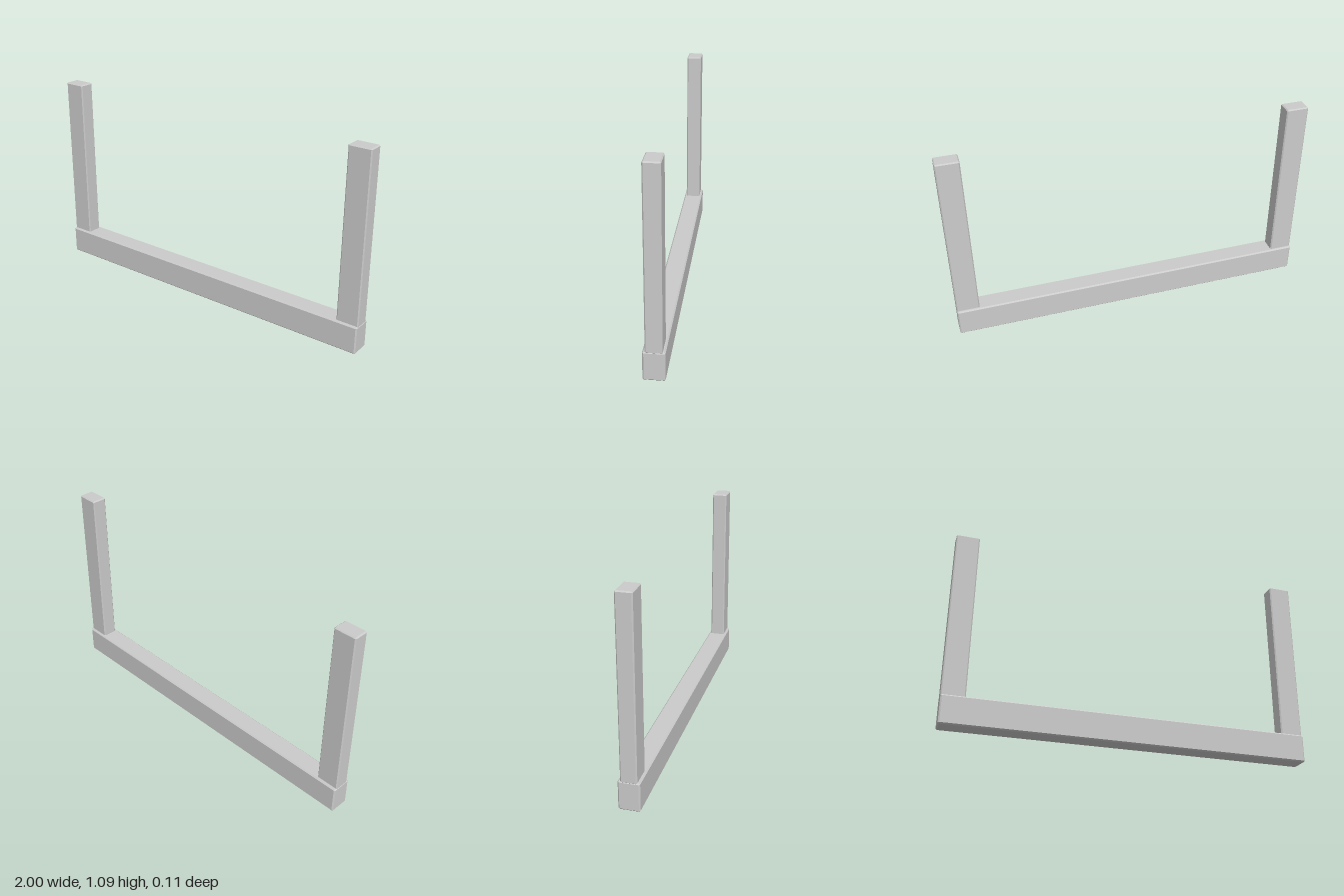
import * as THREE from 'three';
import { ConvexGeometry } from 'three/addons/geometries/ConvexGeometry.js';

const material = new THREE.MeshStandardMaterial({ color: 0xcccccc, flatShading: true });

// Box with all edges chamfered: three points around each corner
function chamferedBox(name, w, h, d, c) {
  const points = [];
  for (const sx of [-1, 1]) for (const sy of [-1, 1]) for (const sz of [-1, 1]) {
    for (let axis = 0; axis < 3; axis++) {
      const inset = [c, c, c];
      inset[axis] = 0;
      points.push(new THREE.Vector3(
        sx * (w / 2 - inset[0]), sy * (h / 2 - inset[1]), sz * (d / 2 - inset[2])));
    }
  }
  const mesh = new THREE.Mesh(new ConvexGeometry(points), material);
  mesh.name = name;
  return mesh;
}

export function createModel() {
  const group = new THREE.Group();
  group.name = 'postFrame';

  // Long bottom rail
  const railHeight = 0.155;
  const rail = chamferedBox('bottomRail', 2, railHeight, 0.11, 0.007);
  rail.position.y = railHeight / 2;
  group.add(rail);

  // Upright post at each end, flush with the rail ends
  const postWidth = 0.125, postBase = 0.147, postTop = 1.09;
  for (const side of [-1, 1]) {
    const post = chamferedBox(side > 0 ? 'leftPost' : 'rightPost',
      postWidth, postTop - postBase, 0.084, 0.006);
    post.position.set(side * (1 - postWidth / 2), (postTop + postBase) / 2, 0);
    group.add(post);
  }

  return group;
}
